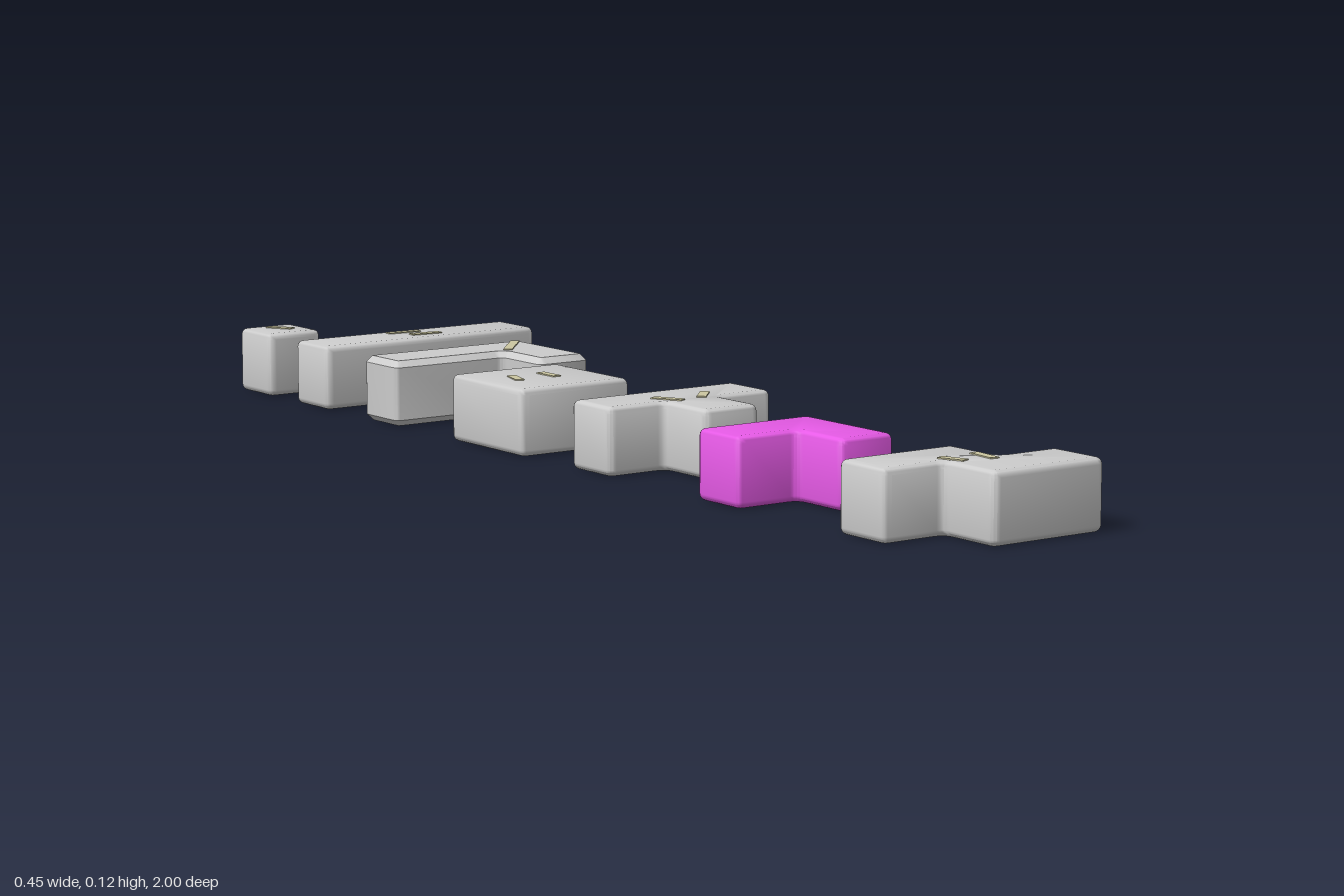
import * as THREE from 'three';
import { toCreasedNormals } from 'three/addons/utils/BufferGeometryUtils.js';

const HEIGHT = 0.115, BEVEL = 0.011, RADIUS = 0.014;

// Closed outline with softened corners; points are [x, z]
function roundedOutline(points) {
  const pts = points.map(([x, z]) => new THREE.Vector2(x, -z));
  const shape = new THREE.Shape();
  pts.forEach((p, i) => {
    const prev = pts[(i + pts.length - 1) % pts.length];
    const next = pts[(i + 1) % pts.length];
    const a = prev.clone().sub(p).setLength(RADIUS).add(p);
    const c = next.clone().sub(p).setLength(RADIUS).add(p);
    if (i === 0) shape.moveTo(a.x, a.y);
    else shape.lineTo(a.x, a.y);
    shape.quadraticCurveTo(p.x, p.y, c.x, c.y);
  });
  return shape;
}

// Block with rounded edges, standing on y = 0
function blockGeometry(points, bevelSegments) {
  const geo = new THREE.ExtrudeGeometry(roundedOutline(points), {
    depth: HEIGHT - 2 * BEVEL, curveSegments: 4, bevelEnabled: true,
    bevelThickness: BEVEL, bevelSize: BEVEL, bevelOffset: -BEVEL, bevelSegments,
  });
  geo.rotateX(-Math.PI / 2).translate(0, BEVEL, 0);
  return toCreasedNormals(geo, 0.7);
}

const rect = (x0, x1, z0, z1) => [[x0, z0], [x1, z0], [x1, z1], [x0, z1]];

// Marks are [x, z, length, angle]; angle 0 runs along z
const PIECES = [
  { name: 'singleBlock', outline: rect(-0.225, -0.115, -1, -0.89),
    marks: [[-0.165, -0.953, 0.05, 0.55]] },
  { name: 'longBar', outline: rect(-0.225, 0.225, -0.8, -0.69),
    marks: [[-0.012, -0.77, 0.065, 1.5], [0.012, -0.732, 0.06, 1.5]] },
  { name: 'lBlock', bevelSegments: 1,
    outline: [[-0.225, -0.565], [0.106, -0.565], [0.106, -0.345], [0, -0.345], [0, -0.458], [-0.225, -0.458]],
    marks: [[0.035, -0.49, 0.06, -0.7], [0.07, -0.53, 0.055, -0.7]] },
  { name: 'squareBlock', outline: rect(-0.225, -0.004, -0.285, -0.066),
    marks: [[-0.163, -0.178, 0.05, -0.3], [-0.095, -0.178, 0.05, 0]] },
  { name: 'tBlock',
    outline: [[-0.22, 0.068], [0.111, 0.068], [0.111, 0.178], [0.001, 0.178],
      [0.001, 0.288], [-0.109, 0.288], [-0.109, 0.178], [-0.22, 0.178]],
    marks: [[-0.09, 0.16, 0.055, 0.5], [-0.015, 0.156, 0.055, -0.75]] },
  { name: 'cornerBlock', color: 0xe65ae6,
    outline: [[-0.225, 0.421], [-0.004, 0.421], [-0.004, 0.641], [-0.11, 0.641], [-0.11, 0.531], [-0.225, 0.531]],
    marks: [] },
  { name: 'zigzagBlock',
    outline: [[-0.225, 0.776], [-0.004, 0.776], [-0.004, 0.887], [0.11, 0.887],
      [0.11, 1], [-0.11, 1], [-0.11, 0.887], [-0.225, 0.887]],
    marks: [[-0.09, 0.882, 0.045, 0.35], [-0.032, 0.887, 0.055, -0.1]] },
];

export function createModel() {
  const root = new THREE.Group();
  root.name = 'blockSet';
  const markMaterial = new THREE.MeshStandardMaterial({ color: 0xcdc8a2 });

  for (const { name, outline, marks, color = 0xcccccc, bevelSegments = 4 } of PIECES) {
    const piece = new THREE.Group();
    piece.name = name;
    const body = new THREE.Mesh(
      blockGeometry(outline, bevelSegments),
      new THREE.MeshStandardMaterial({ color }));
    body.name = name + 'Body';
    piece.add(body);

    // Thin raised strips on the top face
    for (const [x, z, length, angle] of marks) {
      const mark = new THREE.Mesh(new THREE.BoxGeometry(0.016, 0.004, length), markMaterial);
      mark.position.set(x, HEIGHT, z);
      mark.rotation.y = angle;
      mark.name = 'topMark';
      piece.add(mark);
    }
    root.add(piece);
  }
  return root;
}
